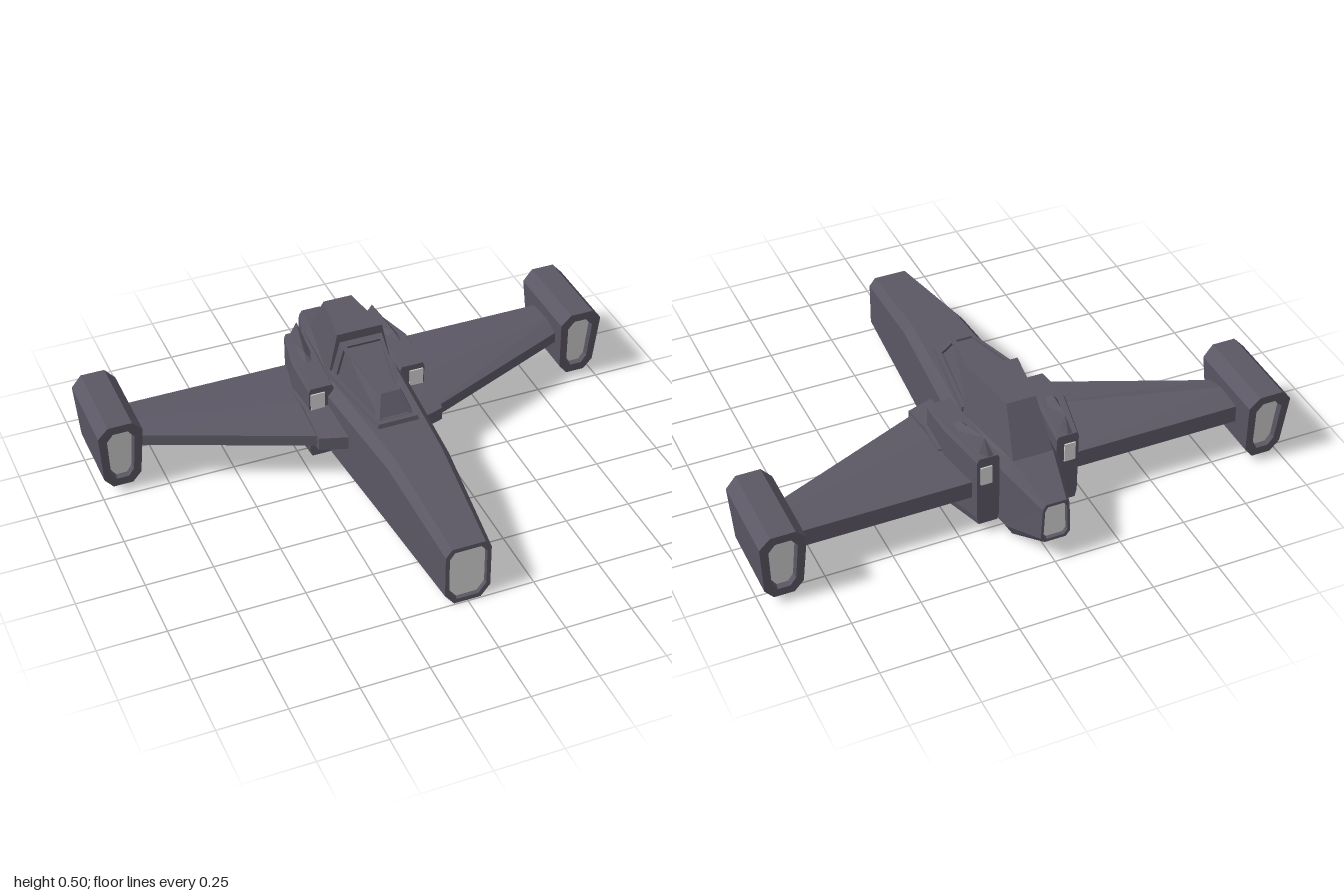
import * as THREE from 'three';

const hullMat = new THREE.MeshStandardMaterial({ color: 0x5b5764 });
hullMat.name = 'hull grey';
const lightMat = new THREE.MeshStandardMaterial({ color: 0xd2d2d2 });
lightMat.name = 'pale panel';

// Flat-faced skin through a list of rings (counter-clockwise seen from the first ring's outside).
// Material 0 is the skin; caps use the given slot, or are left open when null.
function loft(name, rings, capA = 0, capB = 0) {
  const pos = [], geo = new THREE.BufferGeometry();
  const n = rings[0].length;
  const tri = (a, b, c) => pos.push(...a, ...b, ...c);
  const group = (slot, build) => {
    const start = pos.length / 3;
    build();
    geo.addGroup(start, pos.length / 3 - start, slot);
  };
  group(0, () => {
    for (let r = 0; r < rings.length - 1; r++) {
      for (let i = 0; i < n; i++) {
        const j = (i + 1) % n, a = rings[r], b = rings[r + 1];
        tri(a[i], b[i], b[j]);
        tri(a[i], b[j], a[j]);
      }
    }
  });
  const first = rings[0], last = rings[rings.length - 1];
  if (capA !== null) group(capA, () => { for (let i = 1; i < n - 1; i++) tri(first[0], first[i], first[i + 1]); });
  if (capB !== null) group(capB, () => { for (let i = 1; i < n - 1; i++) tri(last[0], last[i + 1], last[i]); });
  geo.setAttribute('position', new THREE.Float32BufferAttribute(pos, 3));
  geo.computeVertexNormals();
  const mesh = new THREE.Mesh(geo, [hullMat, lightMat]);
  mesh.name = name;
  return mesh;
}

// Mirror rings across x = 0, keeping their winding
const flip = (rings) => rings.map((r) => r.map(([x, y, z]) => [-x, y, z]).reverse());

// Chamfered eight-sided section; half widths run from bottom to top, z leans with height
function section(z, [b, lo, hi, t], y0, y1, cLo, cHi, cx = 0, lean = 0) {
  const half = [[b, y0], [lo, y0 + cLo], [hi, y1 - cHi], [t, y1]];
  const all = [...half, ...half.slice().reverse().map(([x, y]) => [-x, y])];
  return all.map(([x, y]) => [cx + x, y, z + lean * (y - (y0 + y1) / 2)]);
}

// Shrink a ring about its centre and push it along z
function shrink(ring, sx, sy, dz) {
  const c = [0, 1, 2].map((k) => ring.reduce((s, p) => s + p[k], 0) / ring.length);
  return ring.map((p) => [c[0] + (p[0] - c[0]) * sx, c[1] + (p[1] - c[1]) * sy, c[2] + (p[2] - c[2]) * sy + dz]);
}

// Four corners at a front and a back edge, seen from above
const deck = (zf, wf, yf, zb, wb, yb) => [[wf, yf, zf], [wb, yb, zb], [-wb, yb, zb], [-wf, yf, zf]];

// Face with a raised frame and a sunken pane
function framedPane(name, corners) {
  const v = corners.map((p) => new THREE.Vector3(...p));
  const mid = v.reduce((s, p) => s.add(p), new THREE.Vector3()).divideScalar(v.length);
  const normal = v[1].clone().sub(v[0]).cross(v[2].clone().sub(v[0])).normalize();
  const inner = v.map((p) => p.clone().lerp(mid, 0.2));
  const sunk = inner.map((p) => p.clone().addScaledVector(normal, -0.009));
  return loft(name, [sunk.map((p) => p.toArray()), inner.map((p) => p.toArray()), corners], 0, null);
}

// Wing section at x: leading edge, thickness break and trailing edge
const wingSection = (x, lead, brk, trail, edge, thick, tail) => [
  [x, 0.188 - tail, trail], [x, 0.188 + tail, trail], [x, 0.19 + thick, brk],
  [x, 0.188 + edge, lead], [x, 0.188 - edge, lead], [x, 0.19 - thick, brk],
];

export function createModel() {
  const model = new THREE.Group();
  model.name = 'fighter';

  // Fuselage with pale sunken panels at nose and tail
  const nose = section(0.745, [0.05, 0.085, 0.085, 0.062], 0, 0.245, 0.045, 0.03);
  const tail = section(-0.745, [0.04, 0.055, 0.05, 0.038], 0.1, 0.265, 0.02, 0.02);
  model.add(loft('fuselage', [
    shrink(nose, 0.78, 0.82, -0.012),
    shrink(nose, 0.82, 0.86, 0),
    nose,
    section(0.31, [0.08, 0.117, 0.117, 0.088], 0, 0.325, 0.045, 0.035),
    section(-0.2, [0.11, 0.157, 0.157, 0.125], 0, 0.325, 0.045, 0.04),
    section(-0.56, [0.075, 0.1, 0.1, 0.075], 0, 0.325, 0.045, 0.05),
    tail,
    shrink(tail, 0.82, 0.86, 0),
    shrink(tail, 0.78, 0.82, 0.012),
  ], 1, 1));

  // Canopy with framed panes on a low sill
  model.add(loft('canopySill', [
    deck(0.13, 0.075, 0.342, -0.24, 0.125, 0.345),
    deck(0.135, 0.08, 0.315, -0.24, 0.13, 0.315),
  ]));
  const top = deck(0.06, 0.038, 0.42, -0.225, 0.082, 0.468);
  const base = deck(0.115, 0.066, 0.335, -0.235, 0.113, 0.335);
  model.add(framedPane('canopyTop', top));
  for (let i = 0; i < 4; i++) {
    const j = (i + 1) % 4;
    model.add(framedPane('canopyPane', [top[i], base[i], base[j], top[j]]));
  }

  // Raised housing behind the canopy
  model.add(loft('dorsalHousing', [
    deck(-0.235, 0.088, 0.495, -0.455, 0.055, 0.495),
    deck(-0.235, 0.125, 0.315, -0.56, 0.075, 0.32),
  ]));

  for (const side of [1, -1]) {
    const add = (name, rings, a, b) =>
      model.add(loft((side > 0 ? 'left' : 'right') + name, side > 0 ? rings : flip(rings), a, b));
    const plate = (name, x, y, z, w, h) => {
      const m = new THREE.Mesh(new THREE.BoxGeometry(w, h, 0.006), lightMat);
      m.name = name;
      m.position.set(side * x, y, z);
      model.add(m);
    };

    // Engine block hugging the hull, with intake, exhaust and small fin
    add('Engine', [
      section(-0.165, [0.04, 0.048, 0.048, 0.042], 0.03, 0.335, 0.03, 0.015, 0.18),
      section(-0.33, [0.045, 0.053, 0.053, 0.045], 0.018, 0.355, 0.03, 0.015, 0.178),
      section(-0.52, [0.035, 0.042, 0.042, 0.035], 0.05, 0.34, 0.03, 0.015, 0.15),
    ]);
    plate('intakePanel', 0.195, 0.278, -0.163, 0.054, 0.068);
    plate('exhaustPanel', 0.158, 0.265, -0.522, 0.042, 0.075);
    add('Fin', [
      [[0.155, 0.345, -0.3], [0.2, 0.345, -0.3], [0.185, 0.35, -0.3]],
      [[0.145, 0.345, -0.34], [0.202, 0.345, -0.34], [0.178, 0.375, -0.34]],
      [[0.125, 0.33, -0.49], [0.178, 0.33, -0.49], [0.152, 0.405, -0.49]],
      [[0.125, 0.33, -0.52], [0.172, 0.33, -0.52], [0.15, 0.335, -0.52]],
    ]);

    // Wing and its thicker root
    add('WingRoot', [
      wingSection(0.243, -0.03, -0.18, -0.3, 0.026, 0.058, 0.05),
      wingSection(0.12, 0.01, -0.18, -0.34, 0.026, 0.062, 0.05),
    ]);
    add('Wing', [
      wingSection(0.86, -0.313, -0.385, -0.49, 0.022, 0.042, 0.034),
      wingSection(0.14, -0.01, -0.2, -0.49, 0.022, 0.048, 0.034),
    ]);

    // Wingtip pod with slanted ends and sunken panels
    const shape = [[0.037, 0.07, 0.083, 0.045], 0.032, 0.32, 0.042, 0.042, 0.917];
    const front = section(-0.257, ...shape, 0.1);
    const back = section(-0.575, ...shape, -0.1);
    add('TipPod', [
      shrink(front, 0.56, 0.72, -0.02), shrink(front, 0.62, 0.76, 0), front,
      back, shrink(back, 0.62, 0.76, 0), shrink(back, 0.56, 0.72, 0.02),
    ], 1, 1);
  }
  return model;
}
